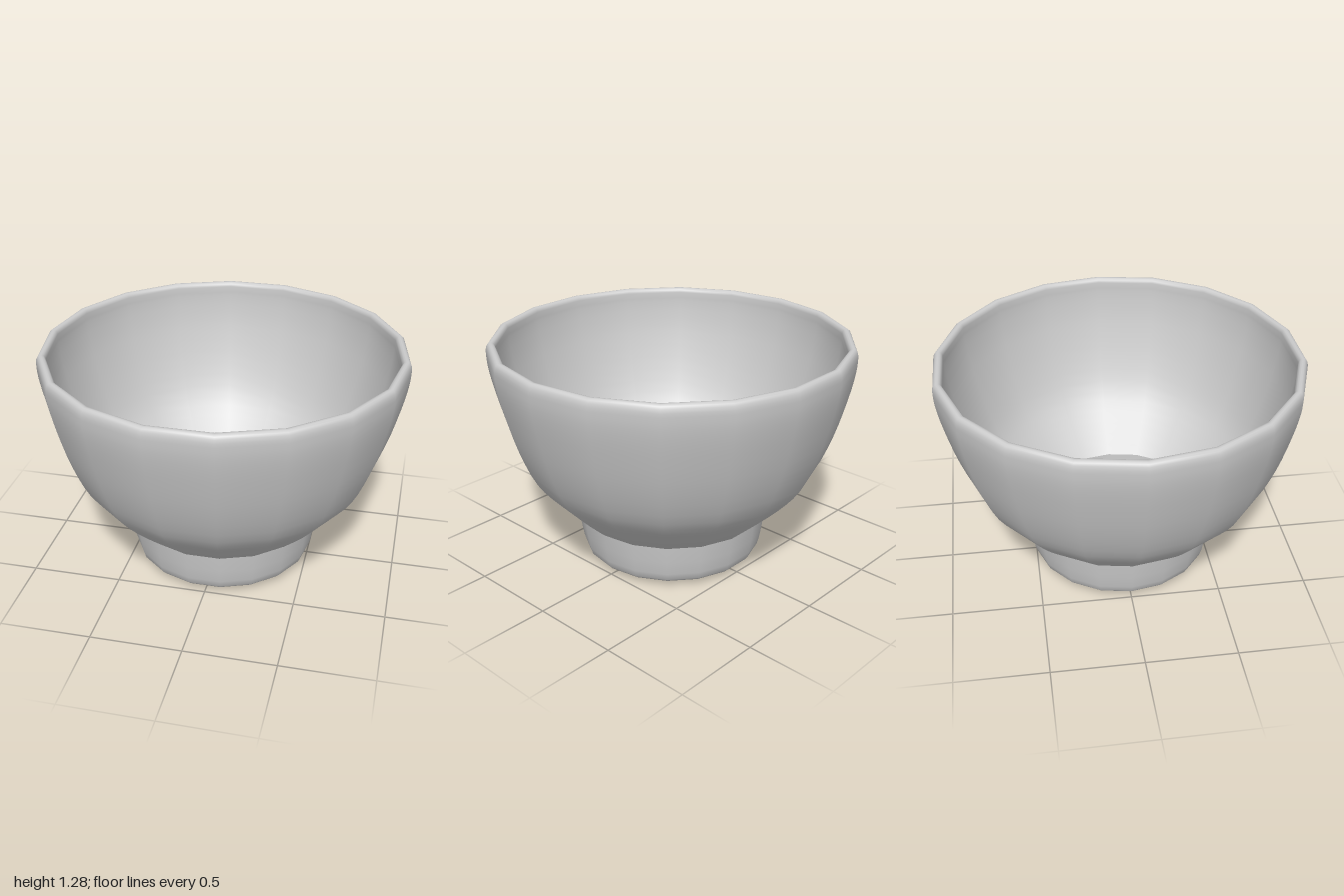
import * as THREE from 'three';

const SIDES = 18;

// Smooth profile through [radius, height] points
const smooth = (pts, n) =>
  new THREE.SplineCurve(pts.map(([r, y]) => new THREE.Vector2(r, y))).getPoints(n);

export function createModel() {
  const group = new THREE.Group();
  const material = new THREE.MeshStandardMaterial({ color: 0xcccccc });

  // Revolve a profile with corners on the x axis
  const turn = (name, profile) => {
    const geometry = new THREE.LatheGeometry(profile, SIDES, Math.PI / 2);
    const mesh = new THREE.Mesh(geometry, material);
    mesh.name = name;
    group.add(mesh);
  };

  // Bowl: outer wall, rounded rim, inner wall
  const outer = smooth([
    [0.54, 0.265], [0.69, 0.41], [0.81, 0.56], [0.9, 0.77],
    [0.965, 1.0], [0.995, 1.15], [1.0, 1.24],
  ], 18);
  const rim = smooth([[0.996, 1.26], [0.985, 1.277], [0.97, 1.28], [0.955, 1.275], [0.947, 1.255]], 6);
  const inner = smooth([
    [0.947, 1.22], [0.94, 1.14], [0.915, 1.0], [0.855, 0.79],
    [0.77, 0.59], [0.65, 0.44], [0.495, 0.29],
  ], 18);
  turn('bowl', [...outer, ...rim, ...inner]);

  // Foot: rounded underside and slightly flared side
  turn('foot', [
    [0, 0], [0.22, 0.002], [0.36, 0.01], [0.45, 0.02], [0.488, 0.032],
    [0.505, 0.05], [0.517, 0.09], [0.53, 0.17], [0.54, 0.265],
  ].map(([r, y]) => new THREE.Vector2(r, y)));

  // Sunken floor inside the foot
  turn('innerFloor', [
    [0.495, 0.29], [0.49, 0.2], [0.478, 0.11], [0.468, 0.08],
    [0.45, 0.065], [0.36, 0.055], [0.2, 0.05], [0, 0.048],
  ].map(([r, y]) => new THREE.Vector2(r, y)));

  return group;
}
